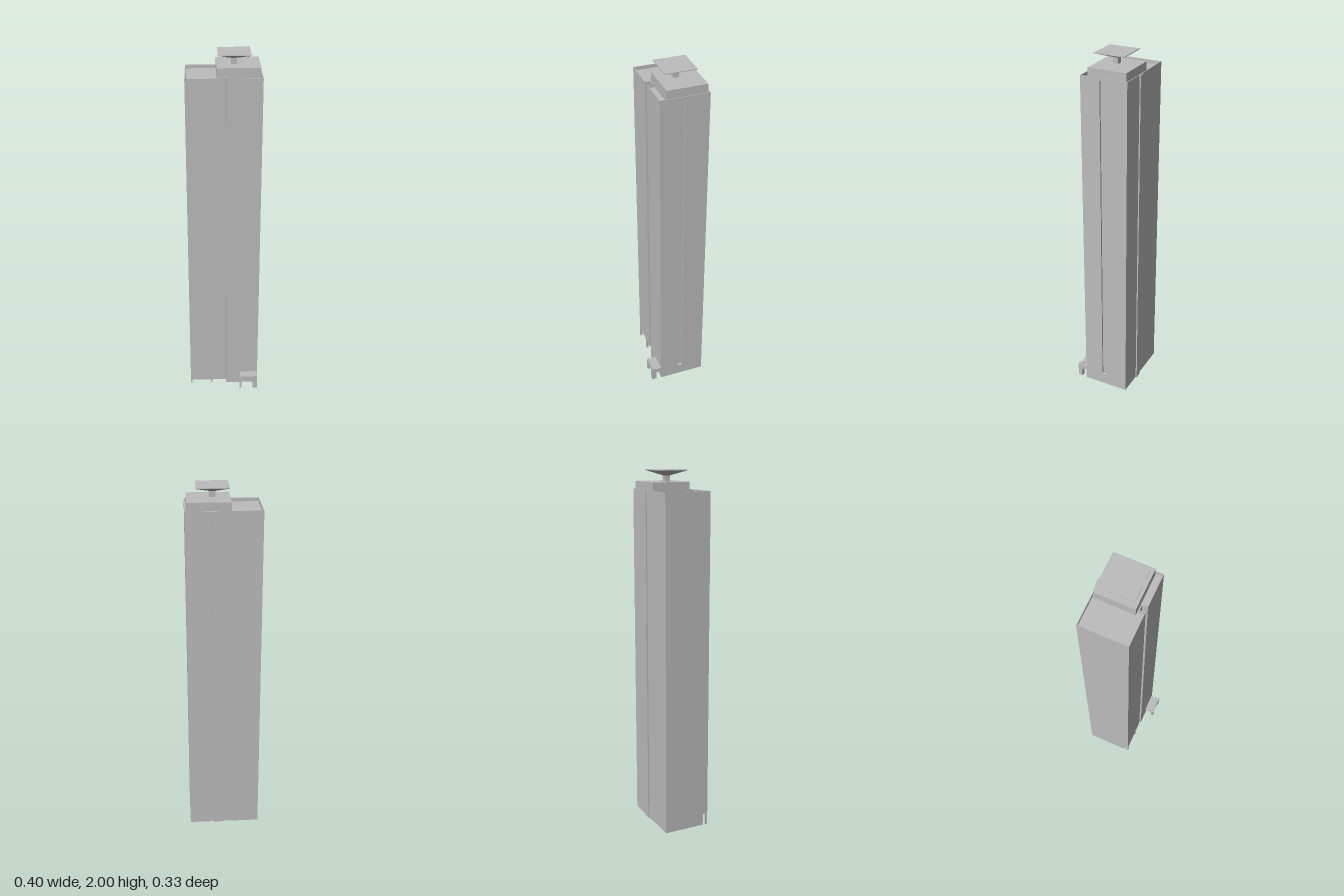
import * as THREE from 'three';

const concrete = new THREE.MeshStandardMaterial({ color: 0xbcbcbc, side: THREE.DoubleSide });
concrete.name = 'concrete grey';

// Floor plan inset by t, as [x, z] corners; slot cuts the left wall, porch sets back the front
function plan(t, slot, porch) {
  const p = [[-0.2 + t, -0.157 + t], [0.2 - t, -0.157 + t]];
  if (slot) p.push([0.2 - t, -0.025 - t], [0.19 - t, -0.025 - t], [0.19 - t, -0.003 + t], [0.2 - t, -0.003 + t]);
  p.push([0.2 - t, 0.107 - t], [0.014 + t, 0.107 - t], [0.014 + t, 0.078 - t]);
  if (porch) p.push([-0.2 + t, 0.078 - t]);
  else p.push([-0.014 - t, 0.078 - t], [-0.014 - t, 0.107 - t], [-0.2 + t, 0.107 - t]);
  return p.map(([x, z]) => new THREE.Vector2(x, -z));
}

export function createModel() {
  const model = new THREE.Group();
  model.name = 'towerBlock';

  const add = (name, geometry) => {
    const mesh = new THREE.Mesh(geometry, concrete);
    mesh.name = name;
    model.add(mesh);
    return mesh;
  };
  // Box given by its limits on each axis
  const box = (name, x0, x1, y0, y1, z0, z1) =>
    add(name, new THREE.BoxGeometry(x1 - x0, y1 - y0, z1 - z0))
      .position.set((x0 + x1) / 2, (y0 + y1) / 2, (z0 + z1) / 2);
  // Plan extruded upwards, hollow when a wall thickness is given
  const storey = (name, y0, y1, { slot = false, porch = false, wall = 0, inset = 0 }) => {
    const shape = new THREE.Shape(plan(inset, slot, porch));
    if (wall) shape.holes.push(new THREE.Path(plan(wall, slot, porch)));
    const g = new THREE.ExtrudeGeometry(shape, { depth: y1 - y0, bevelEnabled: false });
    g.rotateX(-Math.PI / 2);
    add(name, g).position.y = y0;
  };

  // Hollow tower walls
  storey('groundFloorWalls', 0, 0.067, { porch: true, wall: 0.004 });
  storey('shaftWalls', 0.067, 1.88, { slot: true, wall: 0.004 });
  storey('parapet', 1.88, 1.895, { wall: 0.004 });
  storey('roof', 1.872, 1.876, { inset: 0.004, slot: true });

  // Lobby ceiling, dividing wall and porch posts
  box('lobbyCeiling', -0.198, -0.016, 0.067, 0.071, -0.155, 0.105);
  box('dividingWall', -0.004, 0, 0, 1.872, -0.154, 0.076);
  box('cornerPost', -0.2, -0.19, 0, 0.067, 0.094, 0.107);
  box('middlePost', -0.08, -0.071, 0, 0.067, 0.094, 0.107);

  // Strip up the rear wall
  box('rearShaft', 0.025, 0.062, 0, 1.893, -0.164, -0.157);

  // Entrance canopy
  box('canopy', 0.095, 0.195, 0.05, 0.078, 0.107, 0.159);
  box('canopyThinPost', 0.092, 0.105, 0, 0.078, 0.146, 0.161);
  box('canopyThickPost', 0.172, 0.197, 0, 0.083, 0.137, 0.163);

  // Roof house with a square inverted pyramid on a stem
  box('roofHouse', -0.037, 0.19, 1.876, 1.937, -0.148, 0.068);
  box('stem', 0.04, 0.07, 1.937, 1.974, -0.041, -0.011);
  box('topPlate', -0.0305, 0.1405, 1.996, 2, -0.1115, 0.0595);
  let funnel = new THREE.CylinderGeometry(0.1205, 0.0212, 0.027, 4, 1, true);
  funnel.rotateY(Math.PI / 4);
  funnel = funnel.toNonIndexed();
  funnel.computeVertexNormals();
  add('funnel', funnel).position.set(0.055, 1.9825, -0.026);

  return model;
}
